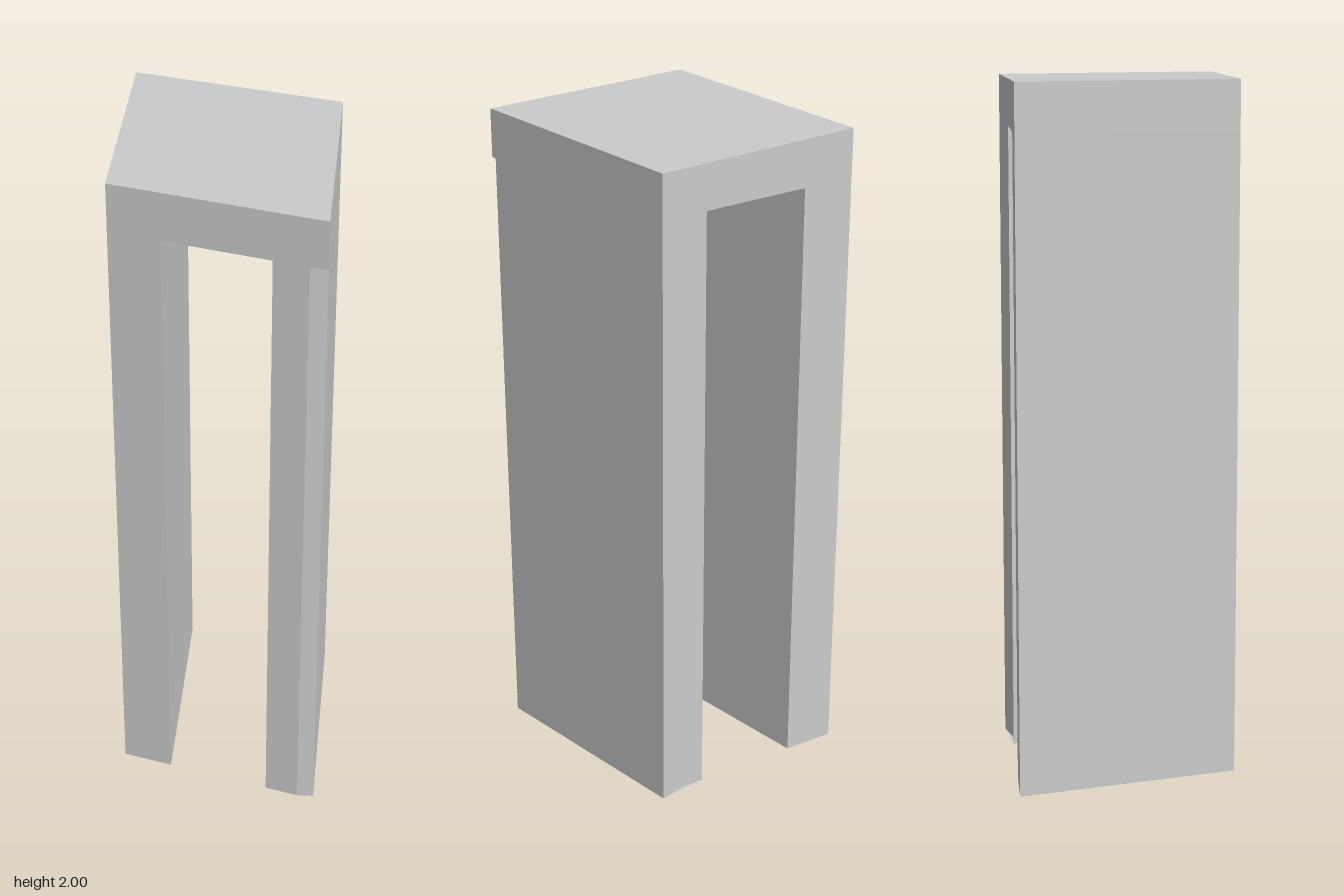
import * as THREE from 'three';

const H = 2, SLOT_TOP = 1.858, OUT = 0.295, IN = 0.149;
const STEP_X = 0.246, FLAT_X = 0.215, FLAT_Z = -0.267, STEP_Z = 0.386;

// Skewed front and back faces, as z at a given x
const frontZ = x => 0.3265 + 0.249 * x;
const backZ = x => Math.max(-0.401, -0.3235 + 0.262 * x);
const front = x => [x, frontZ(x)];
const back = x => [x, x >= FLAT_X ? FLAT_Z : backZ(x)];

// Plans are [x, z] loops, anticlockwise seen from above
function addWalls(pos, plan, y0, y1) {
  plan.forEach(([ax, az], i) => {
    const [bx, bz] = plan[(i + 1) % plan.length];
    pos.push(ax, y0, az, bx, y0, bz, bx, y1, bz, ax, y0, az, bx, y1, bz, ax, y1, az);
  });
}

function addCap(pos, plan, y, up) {
  for (let i = 1; i < plan.length - 1; i++) {
    const tri = up ? [plan[0], plan[i], plan[i + 1]] : [plan[0], plan[i + 1], plan[i]];
    for (const [x, z] of tri) pos.push(x, y, z);
  }
}

function makeMesh(name, pos, material) {
  const geometry = new THREE.BufferGeometry();
  geometry.setAttribute('position', new THREE.Float32BufferAttribute(pos, 3));
  geometry.computeVertexNormals();
  const mesh = new THREE.Mesh(geometry, material);
  mesh.name = name;
  return mesh;
}

export function createModel() {
  const group = new THREE.Group();
  group.name = 'skewedArch';
  const material = new THREE.MeshStandardMaterial({ color: 0xcccccc, flatShading: true });

  // Lintel: outer walls, top, slot ceiling and the small overhang at the front corner
  const lintelPlan = [back(-OUT), front(-OUT), front(OUT), back(OUT), back(FLAT_X)];
  const lintel = [];
  addWalls(lintel, lintelPlan, SLOT_TOP, H);
  addCap(lintel, lintelPlan, H, true);
  addCap(lintel, [back(-IN), front(-IN), front(IN), back(IN)], SLOT_TOP, false);
  addCap(lintel, [front(STEP_X), front(OUT), [OUT, STEP_Z]], SLOT_TOP, false);
  group.add(makeMesh('lintel', lintel, material));

  // Legs: plain on the right, flattened at both outer corners on the left
  const legPlans = {
    rightLeg: [back(-OUT), front(-OUT), front(-IN), back(-IN)],
    leftLeg: [back(IN), front(IN), front(STEP_X), [OUT, STEP_Z], back(OUT), back(FLAT_X)],
  };
  for (const [name, plan] of Object.entries(legPlans)) {
    const leg = [];
    addWalls(leg, plan, 0, SLOT_TOP);
    addCap(leg, plan, 0, false);
    group.add(makeMesh(name, leg, material));
  }
  return group;
}
